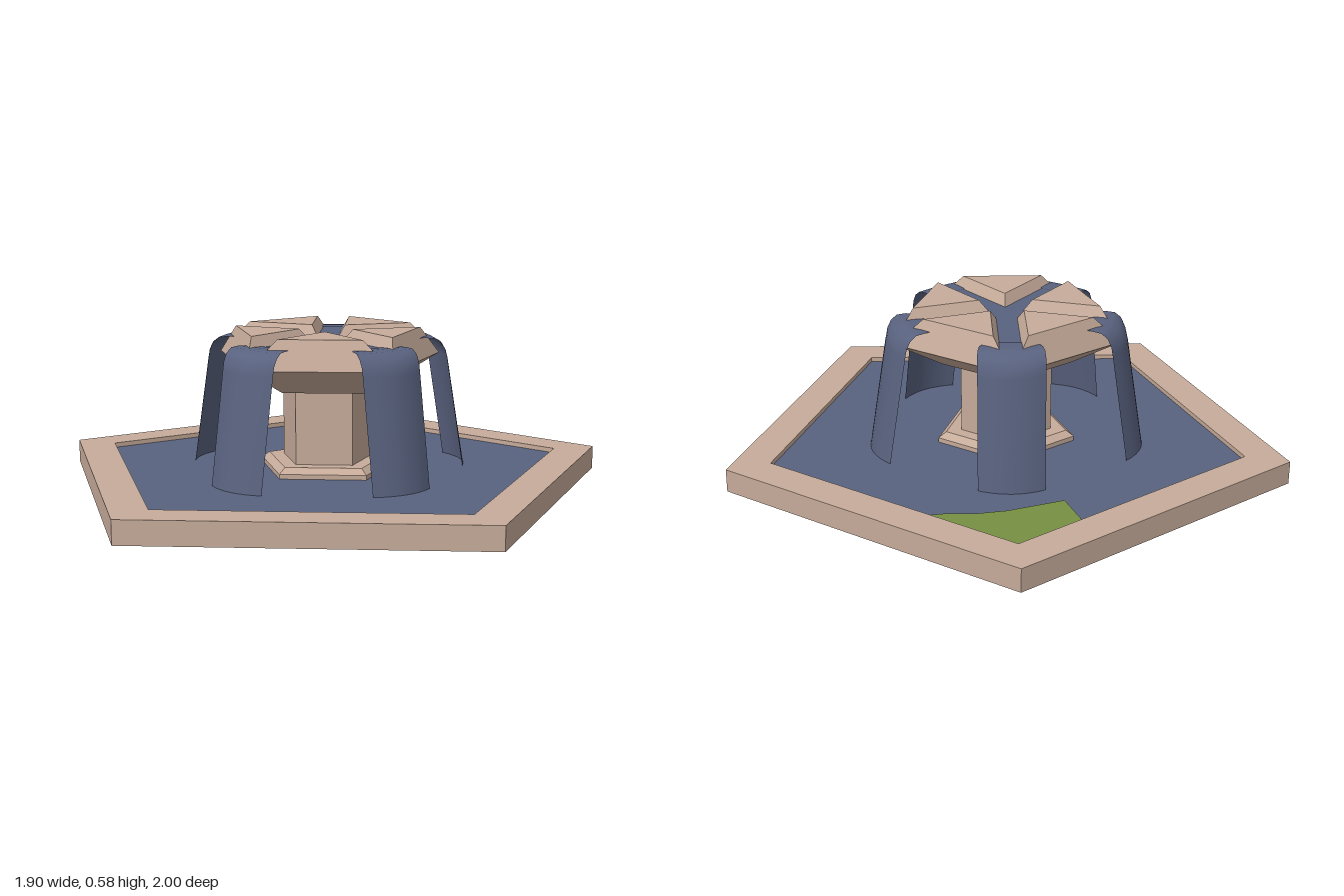
import * as THREE from 'three';
import { ConvexGeometry } from 'three/addons/geometries/ConvexGeometry.js';

const STEP = (Math.PI * 2) / 5;
const POOL_Y = 0.068;

// Corner points of a regular pentagon with one corner on +x
function pentagon(radius) {
  return Array.from({ length: 5 }, (_, i) =>
    new THREE.Vector2(radius * Math.cos(i * STEP), radius * Math.sin(i * STEP)));
}

// Five-sided prism or frustum between two heights, flat faced
function frustum(rBottom, rTop, y0, y1) {
  const g = new THREE.CylinderGeometry(rTop, rBottom, y1 - y0, 5, 1)
    .rotateY(Math.PI / 2).translate(0, (y0 + y1) / 2, 0).toNonIndexed();
  g.computeVertexNormals();
  return g;
}

// Flat horizontal plate from a 2D outline (shape y becomes -z)
function plate(points, y) {
  return new THREE.ShapeGeometry(new THREE.Shape(points))
    .rotateX(-Math.PI / 2).translate(0, y, 0);
}

// Triangular cap stone pointing at the centre, sides leaning inward
function wedgeGeometry() {
  const points = [];
  for (const [y, apothem, gap] of [[0.475, 0.345, 0.002], [0.58, 0.305, 0.06]]) {
    const tip = gap / Math.sin(STEP / 2);
    const half = (apothem - tip) * Math.tan(STEP / 2);
    points.push(
      new THREE.Vector3(tip, y, 0),
      new THREE.Vector3(apothem, y, half),
      new THREE.Vector3(apothem, y, -half));
  }
  return new ConvexGeometry(points);
}

// Falling sheet of water: rows of radius, height, half width, bulge
function fallGeometry() {
  const rows = [
    [0.30, 0.543, 0.09, 0], [0.345, 0.545, 0.11, 0], [0.385, 0.542, 0.115, 0.008],
    [0.415, 0.525, 0.117, 0.016], [0.435, 0.497, 0.117, 0.022],
    [0.445, 0.465, 0.117, 0.026], [0.512, POOL_Y, 0.117, 0.03],
  ];
  const g = new THREE.PlaneGeometry(2, 1, 8, rows.length - 1);
  const p = g.attributes.position;
  for (let i = 0; i < p.count; i++) {
    const s = p.getX(i);
    const [r, y, half, bulge] = rows[Math.floor(i / 9)];
    p.setXYZ(i, r - bulge * s * s, y, -s * half);
  }
  g.computeVertexNormals();
  return g;
}

export function createModel() {
  const stone = new THREE.MeshStandardMaterial({ color: 0xc6ab9a });
  stone.name = 'stone';
  const water = new THREE.MeshStandardMaterial({ color: 0x59627f, side: THREE.DoubleSide });
  water.name = 'water';
  const moss = new THREE.MeshStandardMaterial({ color: 0x779043, side: THREE.DoubleSide });
  moss.name = 'moss';

  const model = new THREE.Group();
  model.name = 'fountain';
  const body = new THREE.Group();
  body.name = 'fountainBody';
  body.position.x = -0.1;
  model.add(body);

  const add = (name, geometry, material, angle = 0) => {
    const mesh = new THREE.Mesh(geometry, material);
    mesh.name = name;
    mesh.rotation.y = angle;
    body.add(mesh);
  };

  // Basin: rim ring on a solid floor
  const ring = new THREE.Shape(pentagon(1.05));
  ring.holes.push(new THREE.Path(pentagon(0.89).reverse()));
  add('basinRim', new THREE.ExtrudeGeometry(ring, { depth: 0.085, bevelEnabled: false })
    .rotateX(-Math.PI / 2), stone);
  add('basinFloor', plate(pentagon(0.89).reverse(), 0).rotateX(Math.PI), stone);
  add('poolWater', plate(pentagon(0.89), POOL_Y), water);

  // Green patch in the back corner of the pool
  const patch = [[0.01, 0.765], [0.01, 0.595], [0.22, 0.6], [0.32, 0.585], [0.42, 0.55],
    [0.5, 0.537], [0.275, 0.846]].map(([x, y]) => new THREE.Vector2(x, y));
  add('mossPatch', plate(patch, POOL_Y + 0.004), moss);

  // Pedestal
  add('pedestalBase', frustum(0.262, 0.262, 0.02, 0.085), stone);
  add('pedestalBevel', frustum(0.262, 0.232, 0.085, 0.105), stone);
  add('column', frustum(0.173, 0.173, 0.1, 0.38), stone);

  // Bowl and the water lying between its cap stones
  add('bowl', frustum(0.243, 0.427, 0.375, 0.475), stone);
  add('bowlWater', plate(pentagon(0.365), 0.54), water);

  // Cap stones over the sides, falls over the corners
  const wedge = wedgeGeometry();
  const fall = fallGeometry();
  for (let i = 0; i < 5; i++) {
    add('capStone' + (i + 1), wedge, stone, (i + 0.5) * STEP);
    add('waterfall' + (i + 1), fall, water, i * STEP);
  }
  return model;
}
